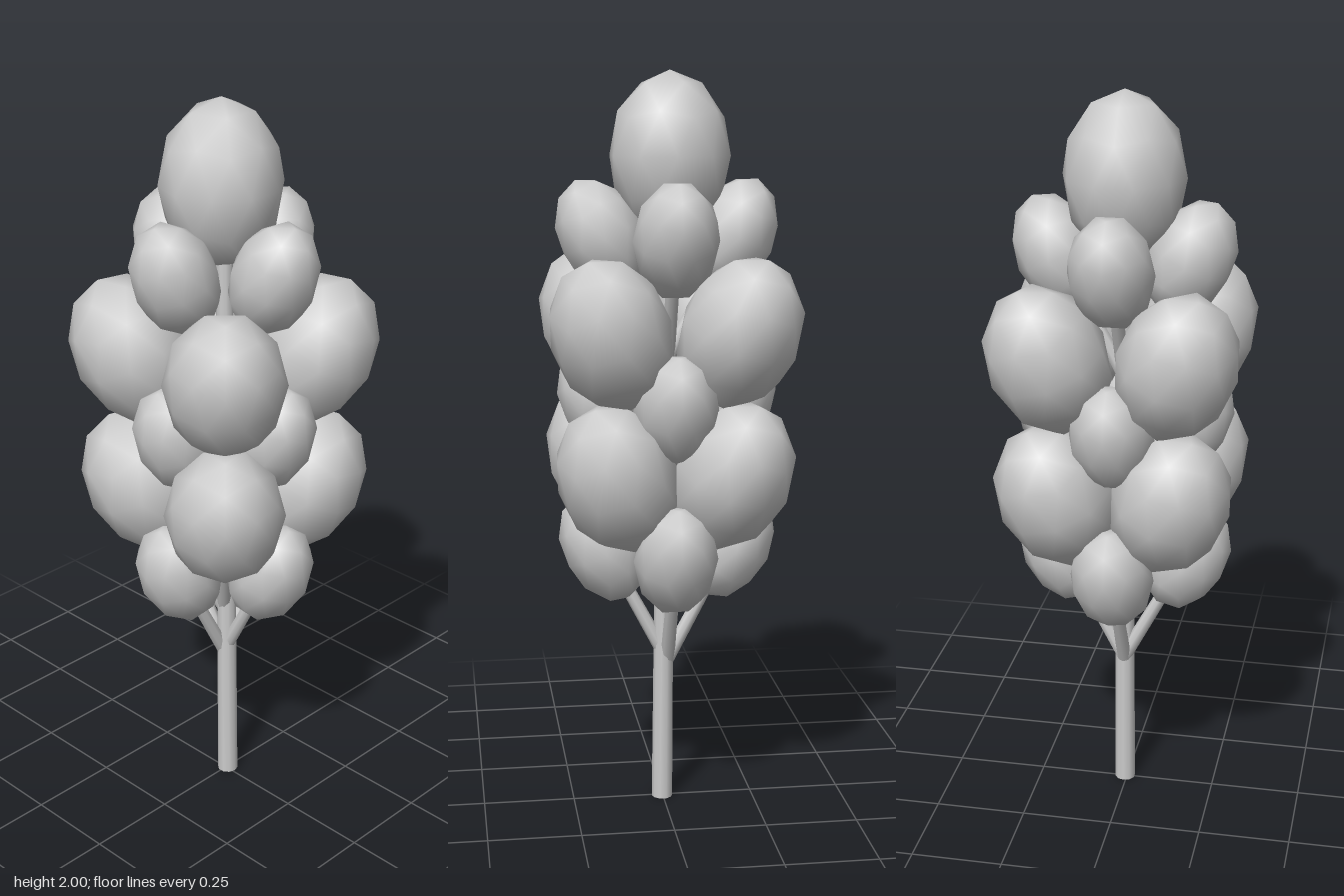
import * as THREE from 'three';

const mat = new THREE.MeshStandardMaterial({ color: 0xcccccc });
const UP = new THREE.Vector3(0, 1, 0);
const CX = 0.006, CZ = -0.013; // crown axis

// Low-poly ball with a vertex at each pole, shared by every leaf clump
const ball = new THREE.IcosahedronGeometry(1, 1).rotateZ(-Math.atan(2 / (1 + Math.sqrt(5))));

function limb(name, from, to, r0, r1, sides) {
  const dir = to.clone().sub(from);
  const mesh = new THREE.Mesh(new THREE.CylinderGeometry(r1, r0, dir.length(), sides), mat);
  mesh.name = name;
  mesh.position.copy(from).addScaledVector(dir, 0.5);
  mesh.quaternion.setFromUnitVectors(UP, dir.normalize());
  return mesh;
}

function clump(name, radius, halfHeight) {
  const mesh = new THREE.Mesh(ball, mat);
  mesh.name = name;
  mesh.scale.set(radius, halfHeight, radius);
  return mesh;
}

// Ring of four branches, each carrying a leaf clump that leans outward
function tier({ y, reach, radius, halfHeight, turn, tilt }) {
  const group = new THREE.Group();
  group.name = 'branchTier';
  for (let i = 0; i < 4; i++) {
    const arm = new THREE.Group();
    arm.name = 'leafyBranch';
    arm.rotation.y = turn + i * Math.PI / 2;
    const leaf = clump('leafClump', radius, halfHeight);
    leaf.position.set(reach, y, 0);
    leaf.rotation.z = -tilt;
    const start = new THREE.Vector3(0, y - reach / Math.tan(tilt + 0.06), 0);
    arm.add(leaf, limb('branch', start, leaf.position, 0.02, 0.016, 8));
    group.add(arm);
  }
  group.position.set(CX, 0, CZ);
  return group;
}

export function createModel() {
  const tree = new THREE.Group();
  tree.name = 'tree';

  // Trunk
  tree.add(limb('trunk', new THREE.Vector3(0.006, 0, 0.002),
    new THREE.Vector3(CX, 1.7, CZ), 0.029, 0.022, 10));

  // Small clumps on the axes
  for (const y of [0.73, 1.13, 1.57]) {
    tree.add(tier({ y, reach: 0.175, radius: 0.113, halfHeight: 0.163, turn: 0, tilt: 0.43 }));
  }
  // Large clumps on the diagonals
  for (const [y, reach] of [[0.95, 0.217], [1.33, 0.238]]) {
    tree.add(tier({ y, reach, radius: 0.16, halfHeight: 0.213, turn: Math.PI / 4, tilt: 0.43 }));
  }

  // Crown tip
  const tip = clump('crownTip', 0.162, 0.22);
  tip.position.set(0.003, 1.78, -0.02);
  tip.rotation.y = Math.PI / 2;
  tree.add(tip);
  return tree;
}
